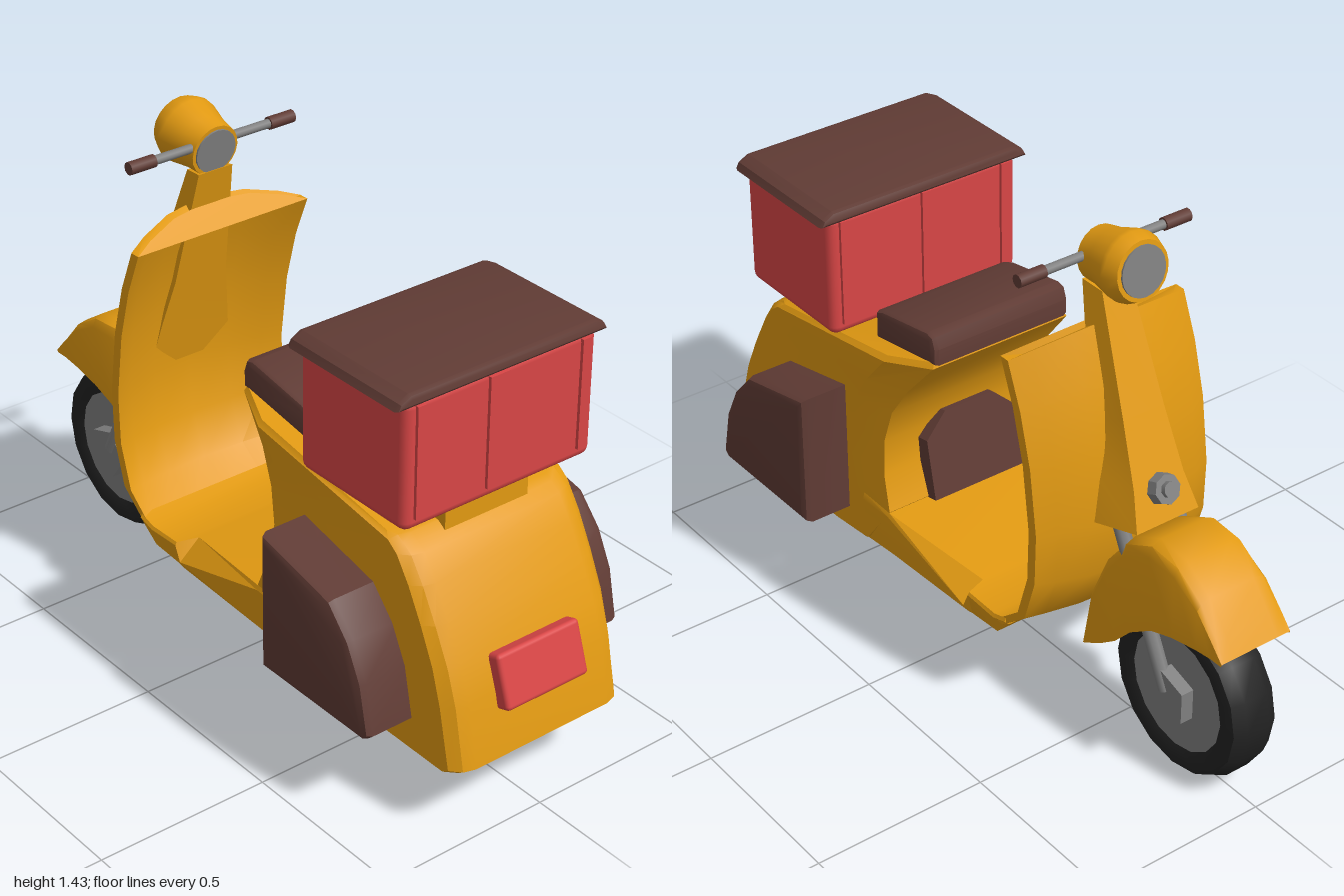
import * as THREE from 'three';
import { toCreasedNormals } from 'three/addons/utils/BufferGeometryUtils.js';
import { RoundedBoxGeometry } from 'three/addons/geometries/RoundedBoxGeometry.js';

const mat = (name, color, side = THREE.FrontSide) => {
  const m = new THREE.MeshStandardMaterial({ color, side });
  m.name = name;
  return m;
};

// Skin through rows of [x, y, z] points; closed rows are rings with end caps
function loft(rows, closed, crease = 0.6) {
  const n = rows[0].length, index = [];
  const span = closed ? n : n - 1;
  for (let i = 0; i < rows.length - 1; i++) {
    for (let j = 0; j < span; j++) {
      const a = i * n + j, b = i * n + (j + 1) % n;
      index.push(a, b, b + n, a, b + n, a + n);
    }
  }
  if (closed) {
    const e = (rows.length - 1) * n;
    for (let j = 1; j < n - 1; j++) index.push(0, j + 1, j, e, e + j, e + j + 1);
  }
  const g = new THREE.BufferGeometry();
  g.setAttribute('position', new THREE.Float32BufferAttribute(rows.flat(2), 3));
  g.setIndex(index);
  return toCreasedNormals(g, crease);
}

// Side outline in [z, y], extruded across x from x0 to x1 with bevelled edges
function sideExtrude(pts, x0, x1, bevel) {
  const shape = new THREE.Shape(pts.map(([z, y]) => new THREE.Vector2(-z, y)));
  const g = new THREE.ExtrudeGeometry(shape, {
    depth: x1 - x0 - 2 * bevel, bevelThickness: bevel, bevelSize: bevel,
    bevelOffset: -bevel, bevelSegments: 2,
  });
  g.translate(0, 0, x0 + bevel).rotateY(Math.PI / 2);
  return toCreasedNormals(g, 0.5);
}

export function createModel() {
  const root = new THREE.Group();
  const paint = mat('yellowPaint', 0xe29a12, THREE.DoubleSide);
  const brown = mat('brownLeather', 0x613c35);
  const red = mat('red', 0xd94646);
  const grey = mat('greyMetal', 0x808080);
  const black = mat('blackRubber', 0x222222);

  const add = (name, geo, material, x = 0, y = 0, z = 0, rx = 0, parent = root) => {
    const m = new THREE.Mesh(geo, material);
    m.name = name;
    m.position.set(x, y, z);
    m.rotation.x = rx;
    parent.add(m);
    return m;
  };
  const box = (w, h, d, r) => new RoundedBoxGeometry(w, h, d, 2, r);
  const rodX = (r, len, sides) => new THREE.CylinderGeometry(r, r, len, sides).rotateZ(Math.PI / 2);

  // Wheels
  const tyreProfile = [[0.165, -0.06], [0.2, -0.075], [0.228, -0.068], [0.245, -0.035],
    [0.245, 0.035], [0.228, 0.068], [0.2, 0.075], [0.165, 0.06]].map(p => new THREE.Vector2(...p));
  for (const [name, z] of [['frontWheel', -0.75], ['rearWheel', 0.62]]) {
    const wheel = new THREE.Group();
    wheel.name = name;
    wheel.position.set(0, 0.247, z);
    root.add(wheel);
    add('tyre', toCreasedNormals(new THREE.LatheGeometry(tyreProfile, 16).rotateZ(-Math.PI / 2), 0.7), black, 0, 0, 0, 0, wheel);
    add('rim', rodX(0.175, 0.124, 16), grey, 0, 0, 0, 0, wheel);
    add('hub', toCreasedNormals(rodX(0.078, 0.2, 5), 0.3), grey, 0, 0, 0, 0, wheel);
  }

  // Rear body: stacked tilted rings [front z, front y, rear z, rear y, front half width]
  const bodyRows = [
    [0.33, 0.2, 0.975, 0.196, 0.27], [0.31, 0.215, 0.998, 0.21, 0.28],
    [0.2, 0.36, 0.965, 0.38, 0.28], [0.235, 0.46, 0.93, 0.48, 0.27],
    [0.245, 0.56, 0.88, 0.58, 0.26], [0.22, 0.66, 0.83, 0.67, 0.25],
    [0.165, 0.75, 0.785, 0.735, 0.235], [0.07, 0.862, 0.755, 0.755, 0.22],
    [0.075, 0.878, 0.735, 0.768, 0.212],
  ].map(([fz, fy, rz, ry, wf], i) => {
    const w = i === 8 ? 0.268 : 0.28;
    const half = [[0, 0.22], [0.015, 0.255], [0.055, w], [0.8, w], [1, wf]];
    const ring = [...half, ...half.map(([t, x]) => [t, -x]).reverse()];
    return ring.map(([t, x]) => [x, ry + (fy - ry) * t, rz + (fz - rz) * t]);
  });
  add('rearBody', loft(bodyRows, true, 0.5), paint);

  // Floor: [z, top y, edge y, bottom y, top half width]
  const floorRows = [
    [0.32, 0.36, 0.34, 0.205, 0.28], [0.2, 0.357, 0.345, 0.215, 0.28],
    [-0.14, 0.31, 0.255, 0.23, 0.22], [-0.16, 0.308, 0.3, 0.234, 0.28],
    [-0.27, 0.305, 0.295, 0.242, 0.28], [-0.32, 0.32, 0.31, 0.295, 0.28],
  ].map(([z, t, e, b, w]) => [[w, t, z], [0.285, e, z], [0.27, b, z],
    [-0.27, b, z], [-0.285, e, z], [-w, t, z]]);
  add('floor', loft(floorRows, true, 0.4), paint);

  // Leg shield: [edge z, edge y, centre z, centre y], sides swept backwards
  const shieldRows = [
    [-0.275, 0.29, -0.3, 0.285], [-0.37, 0.37, -0.405, 0.36], [-0.41, 0.5, -0.46, 0.48],
    [-0.415, 0.65, -0.475, 0.65], [-0.39, 0.84, -0.455, 0.85], [-0.35, 0.99, -0.42, 1.02],
    [-0.3, 1.115, -0.365, 1.17],
  ].map(([ez, ey, cz, cy]) => {
    const across = [-1, -0.8, -0.45, 0, 0.45, 0.8, 1];
    const at = (u, dz) => [u * 0.28, cy + (ey - cy) * u * u, cz + (ez - cz) * u * u + dz];
    return [...across.map(u => at(u, 0)), ...across.reverse().map(u => at(u, -0.03))];
  });
  add('legShield', loft(shieldRows, true, 0.6), paint);

  // Steering column cover: [y front, z front, half width, y back, z back, half width]
  const columnRows = [
    [0.68, -0.622, 0.1, 0.655, -0.47, 0.135], [0.78, -0.582, 0.08, 0.8, -0.44, 0.11],
    [0.95, -0.516, 0.065, 0.93, -0.41, 0.085], [1.26, -0.4, 0.045, 1.27, -0.335, 0.055],
  ].map(([fy, fz, fw, by, bz, bw]) => [[fw, fy, fz], [bw, by, bz], [-bw, by, bz], [-fw, fy, fz]]);
  add('steeringColumn', loft(columnRows, true, 0.3), paint);

  // Front mudguard: [crown z, crown y, rim z, rim y]
  const guardRows = [
    [-0.43, 0.23, -0.44, 0.235], [-0.455, 0.42, -0.5, 0.27], [-0.51, 0.55, -0.56, 0.315],
    [-0.58, 0.64, -0.62, 0.38], [-0.68, 0.69, -0.7, 0.435], [-0.78, 0.68, -0.78, 0.462],
    [-0.87, 0.62, -0.87, 0.48], [-0.935, 0.54, -0.925, 0.487], [-0.968, 0.495, -0.965, 0.487],
  ].map(([cz, cy, rz, ry]) => [[-0.112, 1], [-0.112, 0.15], [-0.1, 0.04], [-0.07, 0],
    [0.07, 0], [0.1, 0.04], [0.112, 0.15], [0.112, 1]]
    .map(([x, t]) => [x, cy + (ry - cy) * t, cz + (rz - cz) * t]));
  add('frontMudguard', loft(guardRows, false, 0.8), paint);

  // Fork legs
  for (const x of [-0.088, 0.088]) {
    const a = new THREE.Vector3(x, 0.68, -0.535), b = new THREE.Vector3(x, 0.26, -0.74);
    const leg = add('forkLeg', new THREE.CylinderGeometry(0.021, 0.021, a.distanceTo(b), 8), grey);
    leg.position.copy(a).add(b).multiplyScalar(0.5);
    leg.quaternion.setFromUnitVectors(new THREE.Vector3(0, 1, 0), a.sub(b).normalize());
  }

  // Horn on the column
  const hornTilt = -Math.PI / 2 + 0.4;
  add('hornRim', toCreasedNormals(new THREE.CylinderGeometry(0.04, 0.045, 0.05, 8), 0.4), grey, 0, 0.765, -0.595, hornTilt);
  add('hornCentre', new THREE.CylinderGeometry(0.022, 0.022, 0.02, 8), grey, 0, 0.777, -0.622, hornTilt);

  // Headlamp with a dial on the rider's side
  const head = new THREE.Group();
  head.name = 'headlamp';
  head.position.set(0, 1.336, -0.415);
  head.rotation.x = -Math.PI / 2 + 0.14;
  root.add(head);
  const shell = [[0, -0.08], [0.073, -0.08], [0.078, -0.03], [0.094, 0.035], [0.094, 0.05], [0.08, 0.084], [0, 0.084]];
  add('headlampShell', toCreasedNormals(new THREE.LatheGeometry(shell.map(p => new THREE.Vector2(...p)), 20), 0.5), paint, 0, 0, 0, 0, head);
  add('dial', new THREE.CylinderGeometry(0.063, 0.063, 0.008, 20), grey, 0, -0.081, 0, 0, head);
  add('lens', new THREE.CylinderGeometry(0.068, 0.068, 0.008, 20), grey, 0, 0.085, 0, 0, head);

  // Handlebar and grips
  add('handlebar', rodX(0.013, 0.4, 10), grey, 0, 1.345, -0.35);
  for (const s of [-1, 1]) add('grip', rodX(0.018, 0.08, 10), brown, s * 0.227, 1.345, -0.35);

  // Seat and the knee panel below it
  add('seat', sideExtrude([[0.33, 0.83], [0.33, 0.912], [0.3, 0.925], [0.1, 0.96], [0.075, 0.953],
    [0.063, 0.92], [0.063, 0.872]], -0.22, 0.22, 0.015), brown);
  const panel = new THREE.Shape([[-0.15, -0.12], [0.15, -0.12], [0.15, 0.06], [0.08, 0.125],
    [-0.08, 0.125], [-0.15, 0.06]].map(p => new THREE.Vector2(...p)));
  add('kneePanel', new THREE.ExtrudeGeometry(panel, { depth: 0.06, bevelEnabled: false }), brown, 0, 0.48, 0.19, 0.2);

  // Side panniers
  const pannier = [[0.395, 0.272], [0.8, 0.272], [0.82, 0.29], [0.79, 0.43], [0.74, 0.53],
    [0.665, 0.612], [0.395, 0.672]];
  add('leftPannier', sideExtrude(pannier, 0.24, 0.425, 0.022), brown);
  add('rightPannier', sideExtrude(pannier, -0.425, -0.24, 0.022), brown);

  // Delivery box, ribs, lid and its support
  add('boxSupport', new THREE.BoxGeometry(0.27, 0.12, 0.21), paint, 0, 0.775, 0.655);
  add('deliveryBox', box(0.61, 0.36, 0.4, 0.025), red, 0, 1.005, 0.603);
  for (const z of [0.402, 0.804]) {
    for (const [x, w] of [[-0.262, 0.026], [-0.018, 0.062], [0.262, 0.026]]) {
      add('boxRib', new THREE.BoxGeometry(w, 0.31, 0.016), red, x, 1.015, z);
    }
  }
  const lid = new THREE.Shape([[-0.335, 0], [0.335, 0], [0.325, 0.02], [0.295, 0.036], [-0.295, 0.036],
    [-0.325, 0.02]].map(p => new THREE.Vector2(...p)));
  add('boxLid', toCreasedNormals(new THREE.ExtrudeGeometry(lid, { depth: 0.39, bevelThickness: 0.015,
    bevelSize: 0.012, bevelOffset: -0.012, bevelSegments: 2 }), 0.5), brown, 0, 1.171, 0.405);

  // Tail light
  add('tailLight', box(0.27, 0.15, 0.05, 0.012), red, 0, 0.413, 0.966, -0.33);

  return root;
}
